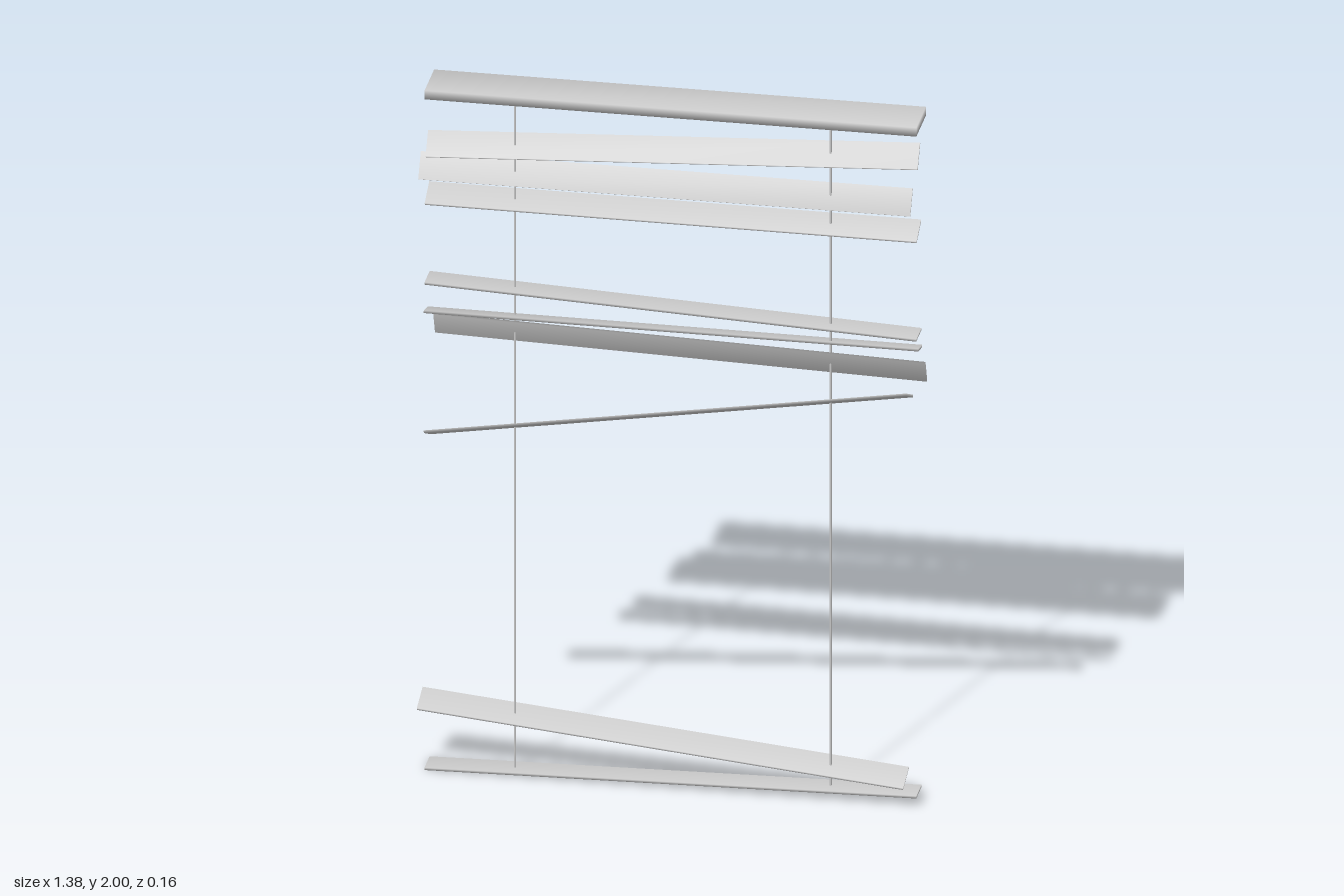
import * as THREE from 'three';
import { mergeVertices } from 'three/addons/utils/BufferGeometryUtils.js';

const material = new THREE.MeshStandardMaterial({ color: 0xcccccc });

// Box with shared corners, so its shading runs softly across the edges
function softBox(w, h, d) {
  const box = new THREE.BoxGeometry(w, h, d);
  box.deleteAttribute('normal');
  box.deleteAttribute('uv');
  const geometry = mergeVertices(box);
  geometry.computeVertexNormals();
  return geometry;
}

const CORD_Z = 0.022;
const SLAT_WIDTH = 0.076;
const SLAT_THICKNESS = 0.007;

// Slats from top to bottom: end positions, end heights, tilt (positive = front edge low), yaw
const slats = [
  { x: [-0.67, 0.67], y: [1.828, 1.9], tilt: 0.8 },
  { x: [-0.69, 0.65], y: [1.763, 1.763], tilt: 1.05 },
  { x: [-0.67, 0.67], y: [1.683, 1.68], tilt: 0.48 },
  { x: [-0.67, 0.67], y: [1.434, 1.376], tilt: 0 },
  { x: [-0.67, 0.67], y: [1.35, 1.327], tilt: -0.27, yaw: 0.033 },
  { x: [-0.65, 0.69], y: [1.304, 1.269], tilt: -1.1 },
  { x: [-0.67, 0.645], y: [0.98, 1.196], tilt: -0.46 },
  { x: [-0.69, 0.635], y: [0.197, 0.07], tilt: 0.46 },
  { x: [-0.67, 0.67], y: [0.008, 0.034], tilt: 0 },
];

export function createModel() {
  const group = new THREE.Group();
  group.name = 'damagedWindowBlind';

  // Head rail
  const rail = new THREE.Mesh(softBox(1.34, 0.026, 0.14), material);
  rail.name = 'headRail';
  rail.position.set(0, 1.987, -0.012);
  group.add(rail);

  // Crooked slats
  slats.forEach(({ x, y, tilt, yaw = 0 }, i) => {
    const dx = x[1] - x[0], dy = y[1] - y[0];
    const slat = new THREE.Mesh(softBox(Math.hypot(dx, dy), SLAT_THICKNESS, SLAT_WIDTH), material);
    slat.name = `slat${i + 1}`;
    slat.position.set((x[0] + x[1]) / 2, (y[0] + y[1]) / 2, CORD_Z);
    slat.rotation.set(tilt, yaw, Math.atan2(dy, dx), 'ZYX');
    group.add(slat);
  });

  // Two cords, hanging from the rail to the lowest slat
  for (const [name, x, bottom] of [['leftCord', 0.43, 0.029], ['rightCord', -0.43, 0.012]]) {
    const length = 1.98 - bottom;
    const cord = new THREE.Mesh(new THREE.CylinderGeometry(0.003, 0.003, length, 6), material);
    cord.name = name;
    cord.position.set(x, bottom + length / 2, CORD_Z);
    group.add(cord);
  }
  return group;
}
